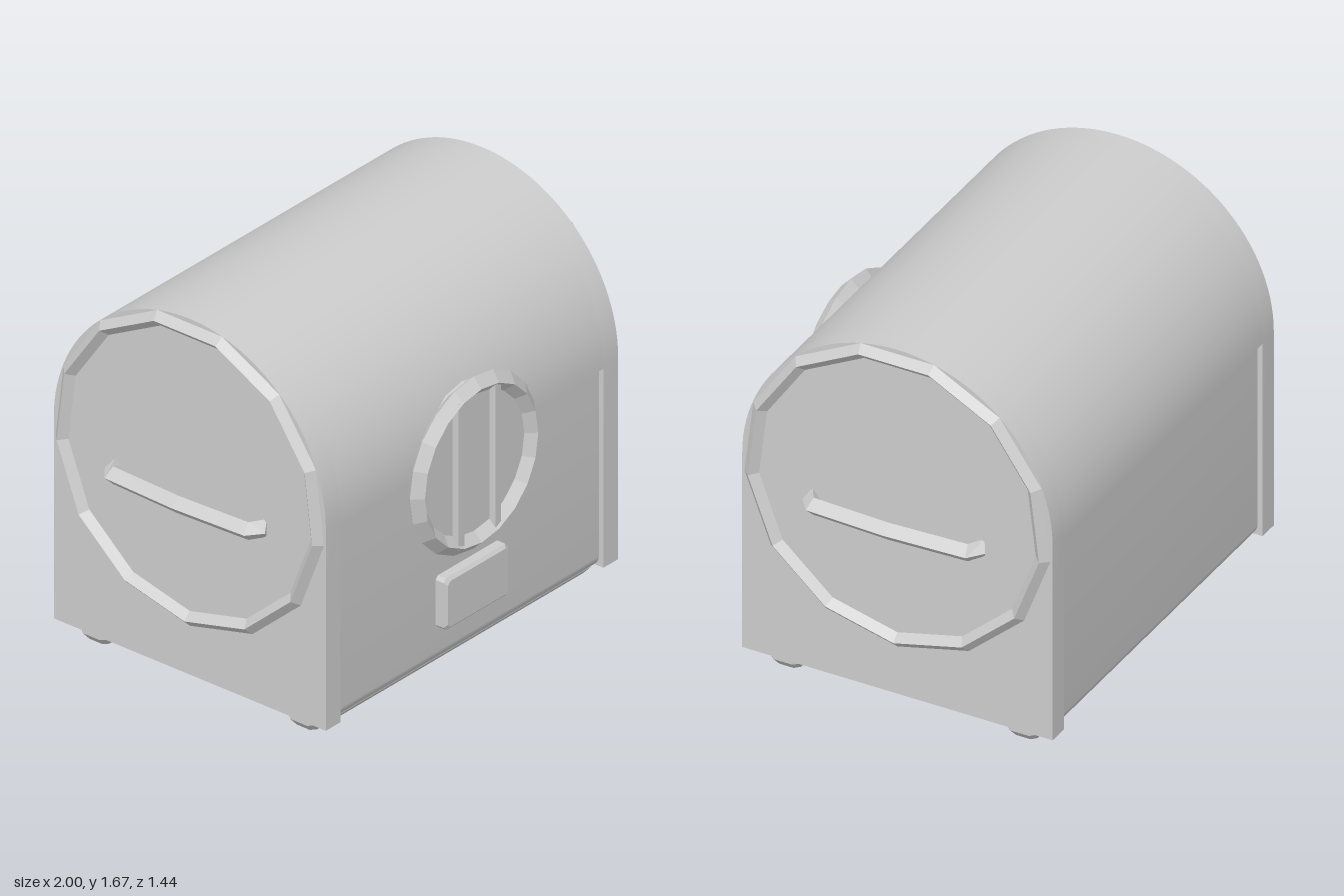
import * as THREE from 'three';
import { toCreasedNormals } from 'three/addons/utils/BufferGeometryUtils.js';

const grey = new THREE.MeshStandardMaterial({ color: 0xcccccc });
grey.name = 'grey';

function add(parent, name, geometry) {
  const mesh = new THREE.Mesh(geometry, grey);
  mesh.name = name;
  parent.add(mesh);
  return mesh;
}

// Flat-shaded copy of a geometry
function faceted(geometry) {
  const g = geometry.toNonIndexed();
  g.computeVertexNormals();
  return g;
}

// Closed, faceted solid through a list of convex rings of [x, y, z] points
function loft(rings) {
  const n = rings[0].length;
  const tris = [];
  for (let r = 0; r < rings.length - 1; r++) {
    for (let i = 0; i < n; i++) {
      const j = (i + 1) % n;
      const [a, b, c, d] = [rings[r][i], rings[r][j], rings[r + 1][j], rings[r + 1][i]];
      tris.push([a, b, c], [a, c, d]);
    }
  }
  const first = rings[0], last = rings[rings.length - 1];
  for (let i = 1; i < n - 1; i++) {
    tris.push([first[0], first[i + 1], first[i]], [last[0], last[i], last[i + 1]]);
  }
  // Turn the faces outward if the rings run the other way
  const v = (p) => new THREE.Vector3(...p);
  const volume = tris.reduce((s, [a, b, c]) => s + v(a).dot(v(b).cross(v(c))), 0);
  if (volume < 0) tris.forEach((t) => t.reverse());
  const g = new THREE.BufferGeometry();
  g.setAttribute('position', new THREE.Float32BufferAttribute(tris.flat(2), 3));
  g.computeVertexNormals();
  return g;
}

// Extrudes a side profile across x, from x0 to x1
function acrossX(shape, x0, x1) {
  const g = new THREE.ExtrudeGeometry(shape, { depth: x1 - x0, bevelEnabled: false, curveSegments: 28 });
  g.rotateY(Math.PI / 2);
  g.translate(x0, 0, 0);
  return toCreasedNormals(g, 0.6);
}

// Arch-topped side profile standing on height y0
function archShape(y0) {
  const s = new THREE.Shape();
  s.moveTo(-0.695, y0);
  s.lineTo(0.695, y0);
  s.lineTo(0.695, 0.975);
  s.absarc(0, 0.975, 0.695, 0, Math.PI, false);
  s.closePath();
  return s;
}

export function createModel() {
  const model = new THREE.Group();
  const body = new THREE.Group();
  body.name = 'body';
  body.position.z = -0.025;
  model.add(body);

  // Curved lid and the two end frames
  const lid = new THREE.Shape();
  lid.moveTo(0.695, 0.965);
  lid.lineTo(0.695, 0.975);
  lid.absarc(0, 0.975, 0.695, 0, Math.PI, false);
  lid.lineTo(-0.695, 0.965);
  lid.closePath();
  add(body, 'lid', acrossX(lid, -0.8, 0.8));
  add(body, 'leftEndFrame', acrossX(archShape(0.07), 0.8, 0.89));
  add(body, 'rightEndFrame', acrossX(archShape(0.07), -0.89, -0.8));

  // Recessed lower box with rounded bottom edges
  const w = 0.672, r = 0.06, y0 = 0.058;
  const box = new THREE.Shape();
  box.moveTo(-w, 0.97);
  box.lineTo(-w, y0 + r);
  box.absarc(-w + r, y0 + r, r, Math.PI, Math.PI * 1.5, false);
  box.lineTo(w - r, y0);
  box.absarc(w - r, y0 + r, r, Math.PI * 1.5, Math.PI * 2, false);
  box.lineTo(w, 0.97);
  box.closePath();
  add(body, 'lowerBox', acrossX(box, -0.8, 0.8));

  // Foot rails with chamfered undersides
  const railRing = (y, hx, hz, c) => [
    [hx, y, hz - c], [hx - c, y, hz], [c - hx, y, hz], [-hx, y, hz - c],
    [-hx, y, c - hz], [c - hx, y, -hz], [hx - c, y, -hz], [hx, y, c - hz],
  ];
  for (const side of [1, -1]) {
    const rail = add(body, side > 0 ? 'frontFootRail' : 'backFootRail', loft([
      railRing(0, 0.83, 0.052, 0.02), railRing(0.035, 0.86, 0.083, 0.04), railRing(0.075, 0.86, 0.083, 0.04),
    ]));
    rail.position.z = side * 0.53;
  }

  // End rings and handles, one on each side
  for (const side of [1, -1]) {
    const word = side > 0 ? 'left' : 'right';
    const ring = new THREE.TorusGeometry(0.657, 0.033, 4, 13);
    ring.rotateZ(-Math.PI / 2);
    ring.rotateY(Math.PI / 2);
    ring.translate(side * 0.89, 0.98, 0);
    add(body, word + 'EndRing', faceted(ring));

    const path = [[0.88, 0.385, 0.04], [0.945, 0.345, 0.02], [0.96, 0, 0], [0.945, -0.345, -0.02], [0.88, -0.385, -0.04]];
    add(body, word + 'Handle', loft(path.map(([x, z, slant]) => [
      [side * (x + 0.04), 0.865, z + slant * 0.6],
      [side * x, 0.905, z],
      [side * (x - 0.04), 0.865, z - slant * 0.6],
      [side * x, 0.825, z],
    ])));
  }

  // Round dial on the front
  const dial = new THREE.Group();
  dial.name = 'dial';
  dial.position.set(0, 0.893, 0);
  model.add(dial);
  const rim = new THREE.TorusGeometry(0.345, 0.042, 4, 20);
  rim.translate(0, 0, 0.677);
  add(dial, 'dialRim', faceted(rim));
  const face = new THREE.CylinderGeometry(0.345, 0.345, 0.08, 20);
  face.rotateY(Math.PI / 2);
  face.rotateX(Math.PI / 2);
  face.translate(0, 0, 0.64);
  add(dial, 'dialFace', faceted(face));
  for (const side of [1, -1]) {
    const bar = new THREE.BoxGeometry(0.036, 0.66, 0.05);
    bar.translate(side * 0.112, 0, 0.685);
    add(dial, side > 0 ? 'leftDialBar' : 'rightDialBar', bar);
  }

  // Small chamfered plate below the dial
  const plateRing = (z, hx, hy) => [
    [hx, hy - 0.015, z], [hx - 0.015, hy, z], [0.015 - hx, hy, z], [-hx, hy - 0.015, z],
    [-hx, 0.015 - hy, z], [0.015 - hx, -hy, z], [hx - 0.015, -hy, z], [hx, 0.015 - hy, z],
  ];
  const plate = add(model, 'frontPlate', loft([
    plateRing(0.63, 0.195, 0.116), plateRing(0.688, 0.195, 0.116), plateRing(0.7, 0.182, 0.103),
  ]));
  plate.position.y = 0.338;

  return model;
}
